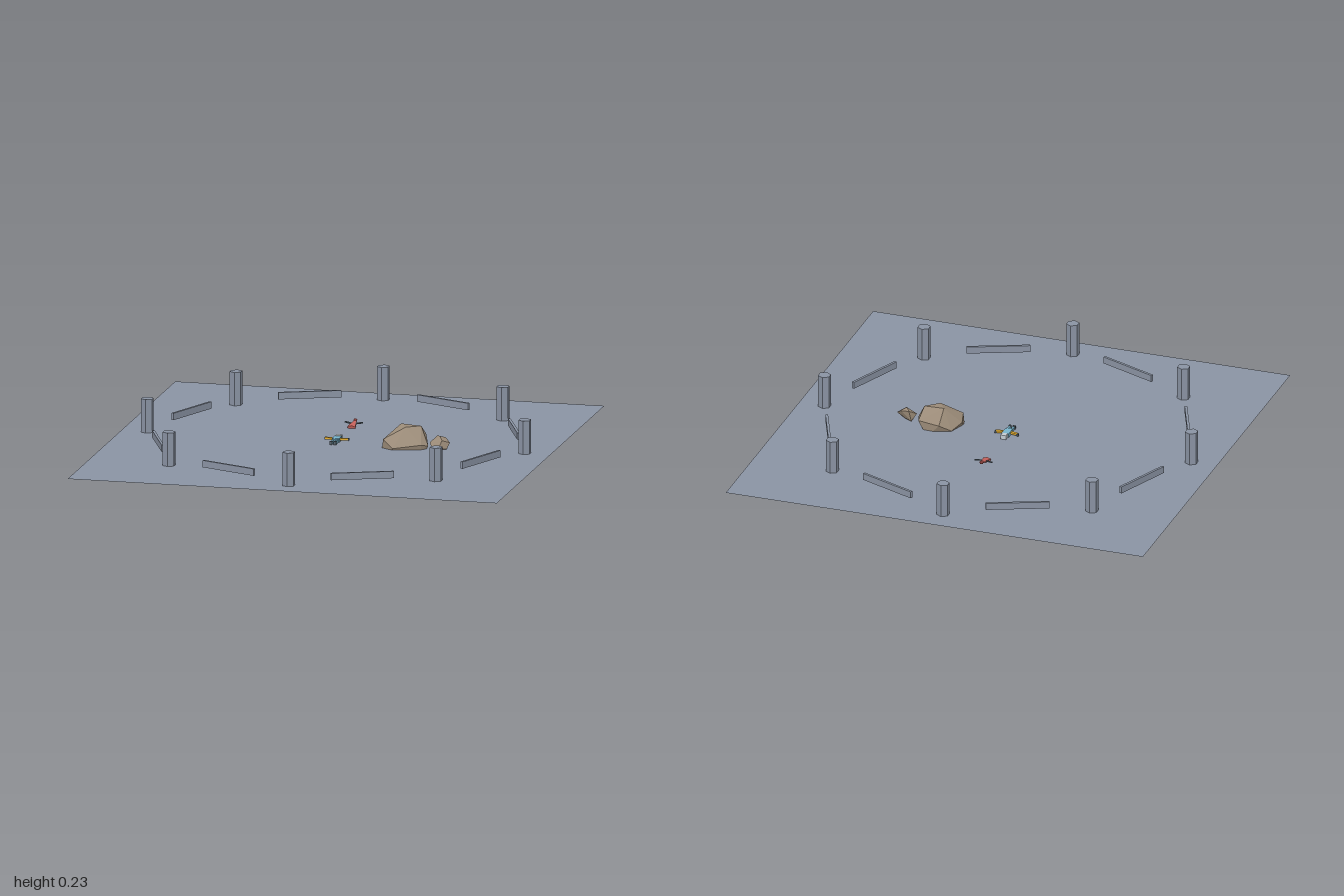
import * as THREE from 'three';
import { ConvexGeometry } from 'three/addons/geometries/ConvexGeometry.js';

const FLOOR = 0.078;

const mat = (color, extra = {}) => {
  const m = new THREE.MeshStandardMaterial({ color, flatShading: true });
  return Object.assign(m, extra);
};

function add(parent, name, geometry, material, x = 0, y = 0, z = 0) {
  const mesh = new THREE.Mesh(geometry, material);
  mesh.name = name;
  mesh.position.set(x, y, z);
  parent.add(mesh);
  return mesh;
}

const hull = (points) => new ConvexGeometry(points.map((p) => new THREE.Vector3(...p)));

export function createModel() {
  const model = new THREE.Group();
  model.name = 'arena';

  const stone = mat(0x8a93a3);
  const rock = mat(0x9b8b78);
  const red = mat(0xc8625c);
  const blue = mat(0x78b4cc);
  const yellow = mat(0xe8b030);
  const pale = mat(0xc4ccd0);
  const dark = mat(0x55626a);

  // Flat floor, visible from both sides
  const floor = new THREE.PlaneGeometry(2, 2).rotateX(-Math.PI / 2);
  add(model, 'floor', floor, mat(0x8a93a3, { side: THREE.DoubleSide }), 0, FLOOR, 0);

  // Ring of hexagonal pillars with a rail between each pair
  const pillarGeo = new THREE.CylinderGeometry(0.03, 0.03, 0.155, 6);
  const railGeo = new THREE.BoxGeometry(0.288, 0.032, 0.012);
  for (let i = 0; i < 8; i++) {
    const a = (i * Math.PI) / 4;
    add(model, 'pillar', pillarGeo, stone, 0.88 * Math.sin(a), FLOOR + 0.0775, 0.88 * Math.cos(a));
    const b = a + Math.PI / 8;
    const rail = add(model, 'rail', railGeo, stone, 0.813 * Math.sin(b), 0.112, 0.813 * Math.cos(b));
    rail.rotation.y = b;
  }

  // Boulder sunk into the floor
  add(model, 'boulder', hull([
    [0.22, 0.10, 0.0], [0.225, 0.06, 0.05], [0.235, 0.12, 0.06], [0.295, 0.175, -0.035],
    [0.39, 0.17, -0.03], [0.33, 0.172, 0.02], [0.30, 0.11, -0.09], [0.40, 0.12, -0.085],
    [0.435, 0.09, 0.02], [0.41, 0.10, 0.055], [0.285, 0.085, 0.09], [0.30, 0.03, 0.07],
    [0.38, 0.01, 0.01], [0.27, 0.005, -0.01], [0.30, 0.012, -0.05], [0.36, 0.045, -0.085],
    [0.41, 0.045, 0.04], [0.25, 0.08, -0.06],
  ]), rock);

  // Small stone beside it
  add(model, 'smallStone', hull([
    [0.44, 0.105, 0.01], [0.455, 0.085, 0.035], [0.465, 0.13, -0.03], [0.485, 0.135, 0.0],
    [0.505, 0.125, -0.025], [0.53, 0.105, -0.005], [0.52, 0.08, 0.02], [0.49, 0.09, 0.047],
    [0.48, 0.065, 0.005], [0.455, 0.08, -0.025], [0.50, 0.12, 0.025],
  ]), rock);

  // Lying blue figure, head toward -z
  const figure = new THREE.Group();
  figure.name = 'lyingFigure';
  figure.position.y = FLOOR;
  model.add(figure);
  add(figure, 'torso', new THREE.BoxGeometry(0.034, 0.018, 0.05), blue, 0, 0.012, -0.015);
  add(figure, 'hips', new THREE.BoxGeometry(0.028, 0.016, 0.016), blue, 0, 0.011, 0.016);
  add(figure, 'head', new THREE.BoxGeometry(0.026, 0.02, 0.026), pale, 0, 0.013, -0.053);
  for (const s of [-1, 1]) {
    const arm = add(figure, 'arm', new THREE.BoxGeometry(0.036, 0.009, 0.014), yellow, s * 0.034, 0.014, -0.013);
    arm.rotation.y = s * 0.25;
    add(figure, 'hand', new THREE.BoxGeometry(0.01, 0.01, 0.012), dark, s * 0.052, 0.013, -0.018);
    add(figure, 'leg', new THREE.BoxGeometry(0.01, 0.012, 0.032), blue, s * 0.009, 0.009, 0.036);
    add(figure, 'foot', new THREE.BoxGeometry(0.012, 0.016, 0.01), dark, s * 0.01, 0.01, 0.055);
  }

  // Small red winged dart, nose lifted toward -z
  const dart = new THREE.Group();
  dart.name = 'redDart';
  dart.position.set(0, FLOOR + 0.012, -0.325);
  dart.rotation.x = 0.22;
  model.add(dart);
  const body = add(dart, 'body', new THREE.CylinderGeometry(0.008, 0.021, 0.072, 6), red, 0, 0, 0.004);
  body.rotation.x = -Math.PI / 2;
  body.scale.z = 0.5;
  add(dart, 'nose', new THREE.IcosahedronGeometry(0.01, 0), red, 0, 0.002, -0.035);
  for (const s of [-1, 1]) {
    const wing = add(dart, 'wing', new THREE.BoxGeometry(0.034, 0.005, 0.007), dark, s * 0.026, 0.003, -0.006);
    wing.rotation.y = s * 0.4;
  }
  return model;
}
